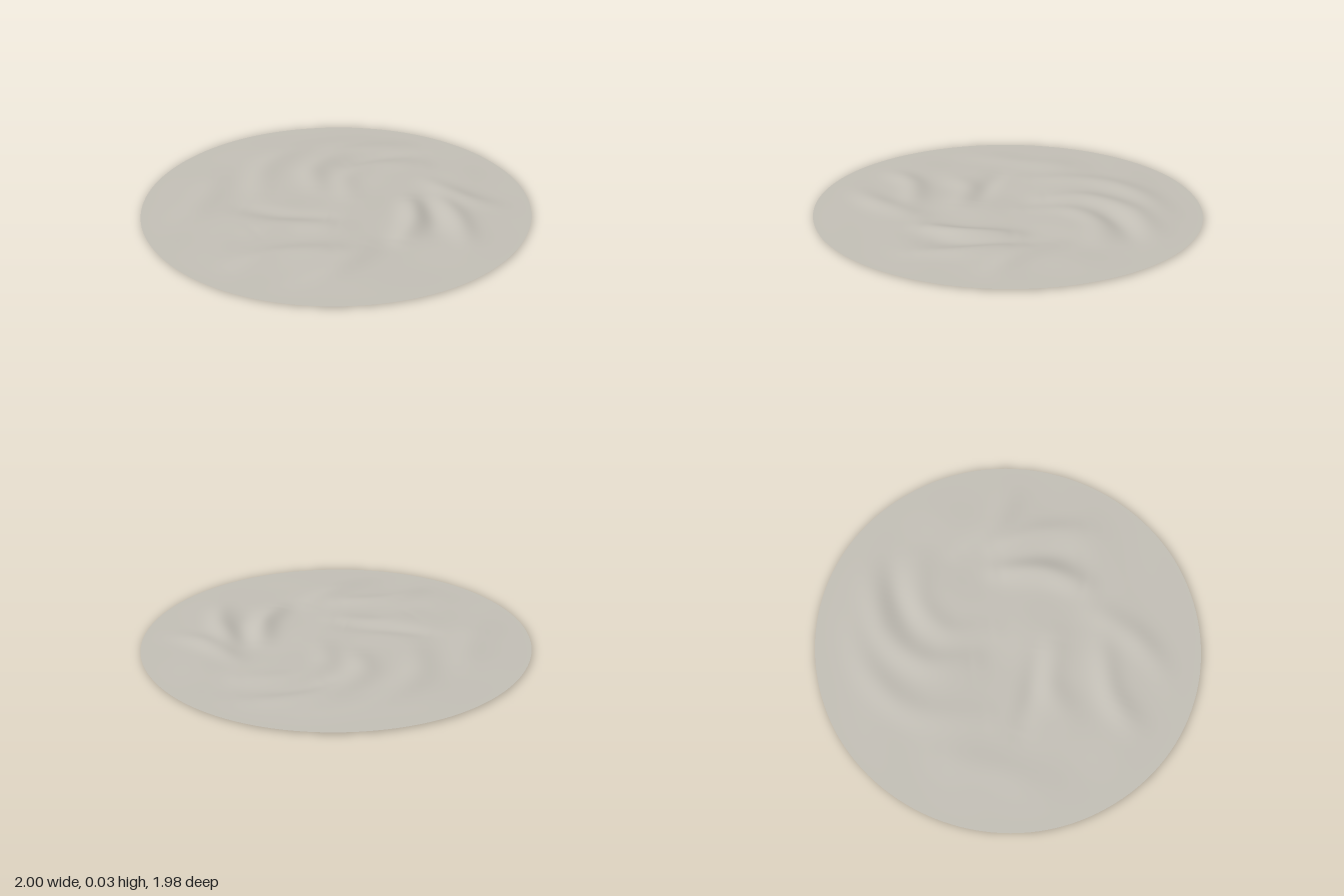
import * as THREE from 'three';

const stone = new THREE.MeshStandardMaterial({ color: 0xc4c0b7, side: THREE.DoubleSide });
stone.name = 'pale stone grey';

// Swirling folds: height, width, then x,z points along the crest (negative height is a hollow)
const FOLDS = [
  [0.018, 0.075, [0.0, -0.22, 0.1, -0.43, 0.35, -0.53, 0.68, -0.47]],
  [0.013, 0.08, [-0.3, -0.3, -0.12, -0.58, 0.18, -0.71, 0.5, -0.68]],
  [0.012, 0.07, [0.1, -0.05, 0.2, -0.25, 0.4, -0.3, 0.62, -0.2]],
  [0.025, 0.065, [0.08, 0.5, 0.24, 0.36, 0.36, 0.15]],
  [0.016, 0.06, [0.36, 0.68, 0.45, 0.45, 0.5, 0.2]],
  [0.013, 0.06, [0.76, 0.48, 0.62, 0.28, 0.56, 0.02]],
  [0.016, 0.065, [-0.78, 0.36, -0.52, 0.32, -0.25, 0.42]],
  [0.014, 0.07, [-0.62, 0.64, -0.35, 0.6, -0.08, 0.48]],
  [0.012, 0.08, [-0.5, 0.08, -0.3, 0.08, -0.12, 0.22]],
  [0.008, 0.1, [-0.75, -0.25, -0.55, -0.4, -0.4, -0.6]],
  [-0.012, 0.06, [-0.45, -0.18, -0.3, -0.02, -0.12, 0.12]],
  [-0.01, 0.06, [0.3, -0.4, 0.5, -0.39, 0.72, -0.33]],
  [-0.009, 0.06, [0.25, 0.55, 0.35, 0.38, 0.44, 0.15]],
].map(([height, width, p]) => {
  const pts = [];
  for (let i = 0; i < p.length; i += 2) pts.push(new THREE.Vector2(p[i], p[i + 1]));
  return { height, width, line: new THREE.SplineCurve(pts).getPoints(24) };
});

function foldHeight(x, z) {
  let y = 0;
  for (const { height, width, line } of FOLDS) {
    let best = 9, at = 0;
    for (let i = 0; i < line.length - 1; i++) {
      const a = line[i], dx = line[i + 1].x - a.x, dz = line[i + 1].y - a.y;
      const t = THREE.MathUtils.clamp(((x - a.x) * dx + (z - a.y) * dz) / (dx * dx + dz * dz), 0, 1);
      const d = Math.hypot(x - a.x - t * dx, z - a.y - t * dz);
      if (d < best) { best = d; at = (i + t) / (line.length - 1); }
    }
    // Each fold softens towards its two ends
    y += height * (0.35 + 0.65 * Math.sin(Math.PI * at)) * Math.exp(-((best / width) ** 2));
  }
  return y;
}

function surfaceHeight(x, z) {
  const r = Math.hypot(x, z);
  const fade = 1 - THREE.MathUtils.smoothstep(r, 0.65, 0.98);
  const ripple = 0.002 * Math.sin(9 * x + 5 * z + 2 * Math.sin(4 * z)) + 0.0015 * Math.sin(13 * z - 6 * x);
  return THREE.MathUtils.clamp(0.014 + fade * (0.003 + foldHeight(x, z) + ripple), 0, 0.047);
}

// Rippled round sheet, thinning to a level rim
function rippledDisc(rings, sides) {
  const pos = [0, surfaceHeight(0, 0), 0], index = [];
  for (let i = 1; i <= rings; i++) {
    for (let j = 0; j < sides; j++) {
      const a = (j / sides) * Math.PI * 2;
      const wobble = 1 - 0.008 * (i / rings) * (Math.sin(a) * Math.sin(a) + Math.cos(2 * a - 2.4) * 0.5 * Math.abs(Math.sin(2 * a)));
      const r = (i / rings) * wobble, x = r * Math.cos(a), z = r * Math.sin(a);
      pos.push(x, surfaceHeight(x, z), z);
      const k = (j + 1) % sides, outer = 1 + (i - 1) * sides, inner = outer - sides;
      if (i === 1) index.push(0, 1 + k, 1 + j);
      else index.push(inner + j, inner + k, outer + j, inner + k, outer + k, outer + j);
    }
  }
  const geo = new THREE.BufferGeometry();
  geo.setAttribute('position', new THREE.Float32BufferAttribute(pos, 3));
  geo.setIndex(index);
  geo.computeVertexNormals();
  return geo;
}

export function createModel() {
  const group = new THREE.Group();
  group.name = 'rippledGround';
  const disc = new THREE.Mesh(rippledDisc(60, 128), stone);
  disc.name = 'groundDisc';
  group.add(disc);
  return group;
}
